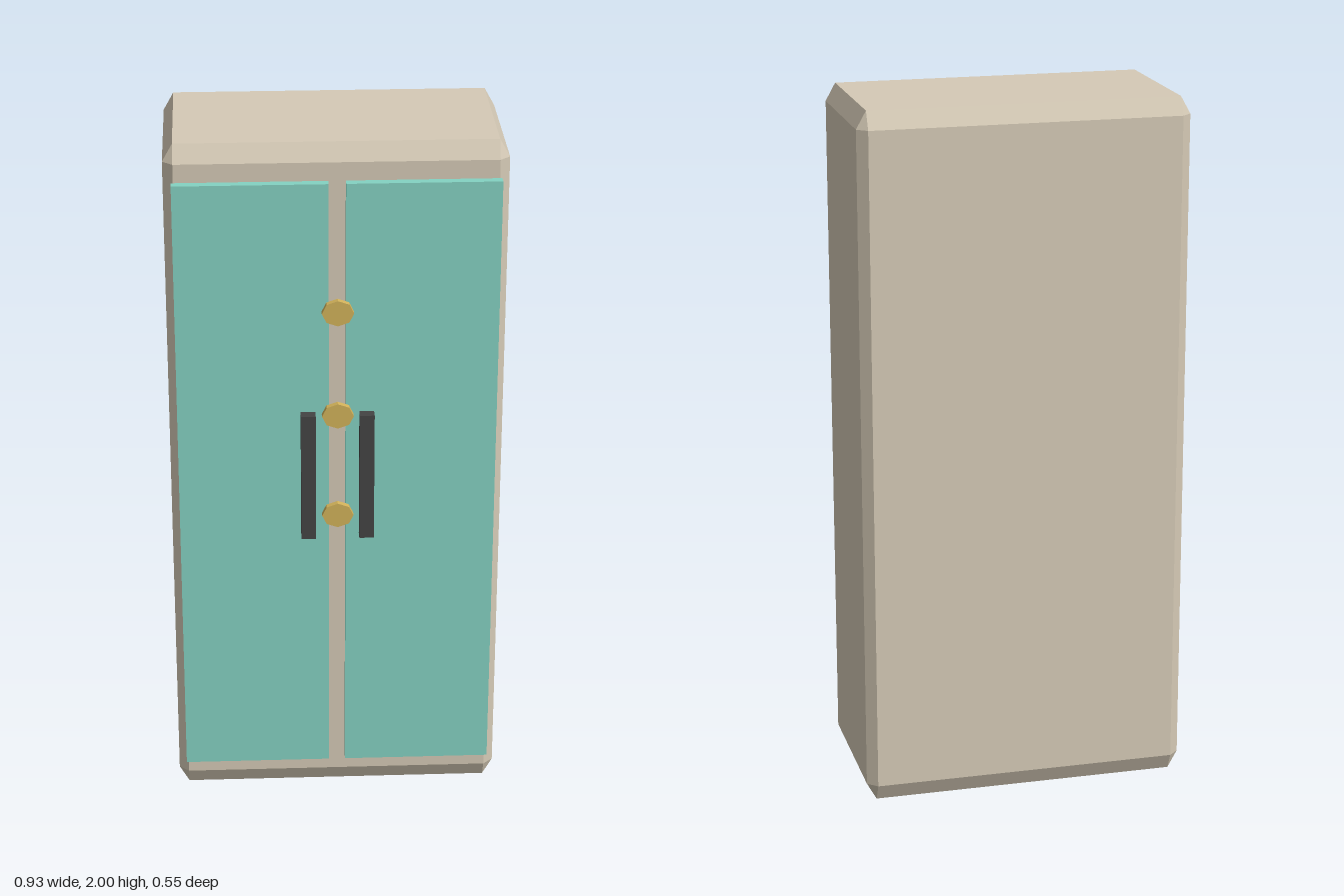
import * as THREE from 'three';
import { ConvexGeometry } from 'three/addons/geometries/ConvexGeometry.js';

const material = (name, color) => {
  const m = new THREE.MeshStandardMaterial({ color, flatShading: true });
  m.name = name;
  return m;
};

// Box with its edges and corners cut off by a different amount on each axis
function chamferedBox(w, h, d, cx, cy, cz) {
  const points = [];
  for (const sx of [-1, 1]) for (const sy of [-1, 1]) for (const sz of [-1, 1]) {
    const x = w / 2, y = h / 2, z = d / 2;
    points.push(
      new THREE.Vector3(sx * x, sy * (y - cy), sz * (z - cz)),
      new THREE.Vector3(sx * (x - cx), sy * y, sz * (z - cz)),
      new THREE.Vector3(sx * (x - cx), sy * (y - cy), sz * z)
    );
  }
  return new ConvexGeometry(points);
}

export function createModel() {
  const model = new THREE.Group();
  model.name = 'cabinet';
  const beige = material('beige', 0xd5cab6);
  const teal = material('teal', 0x84d2c2);
  const charcoal = material('charcoal', 0x444444);
  const brass = material('brass', 0xd2b25a);

  const add = (name, geometry, mat, x, y, z) => {
    const mesh = new THREE.Mesh(geometry, mat);
    mesh.name = name;
    mesh.position.set(x, y, z);
    model.add(mesh);
    return mesh;
  };

  // Chamfered carcass
  add('body', chamferedBox(0.932, 2, 0.486, 0.028, 0.05, 0.026), beige, 0, 1, -0.036);

  // Pair of doors with bar handles
  const door = new THREE.BoxGeometry(0.42, 1.8, 0.026);
  const handle = new THREE.BoxGeometry(0.041, 0.38, 0.032);
  for (const [side, s] of [['left', 1], ['right', -1]]) {
    add(side + 'Door', door, teal, s * 0.2335, 1, 0.225);
    add(side + 'Handle', handle, charcoal, s * 0.0815, 1.043, 0.256);
  }

  // Three slightly oval eight-sided buttons down the middle
  const button = new THREE.CylinderGeometry(1, 1, 0.018, 8).rotateX(Math.PI / 2).scale(0.044, 0.037, 1);
  [0.927, 1.234, 1.541].forEach((y, i) => add('button' + (i + 1), button, brass, 0, y, 0.266));

  return model;
}
